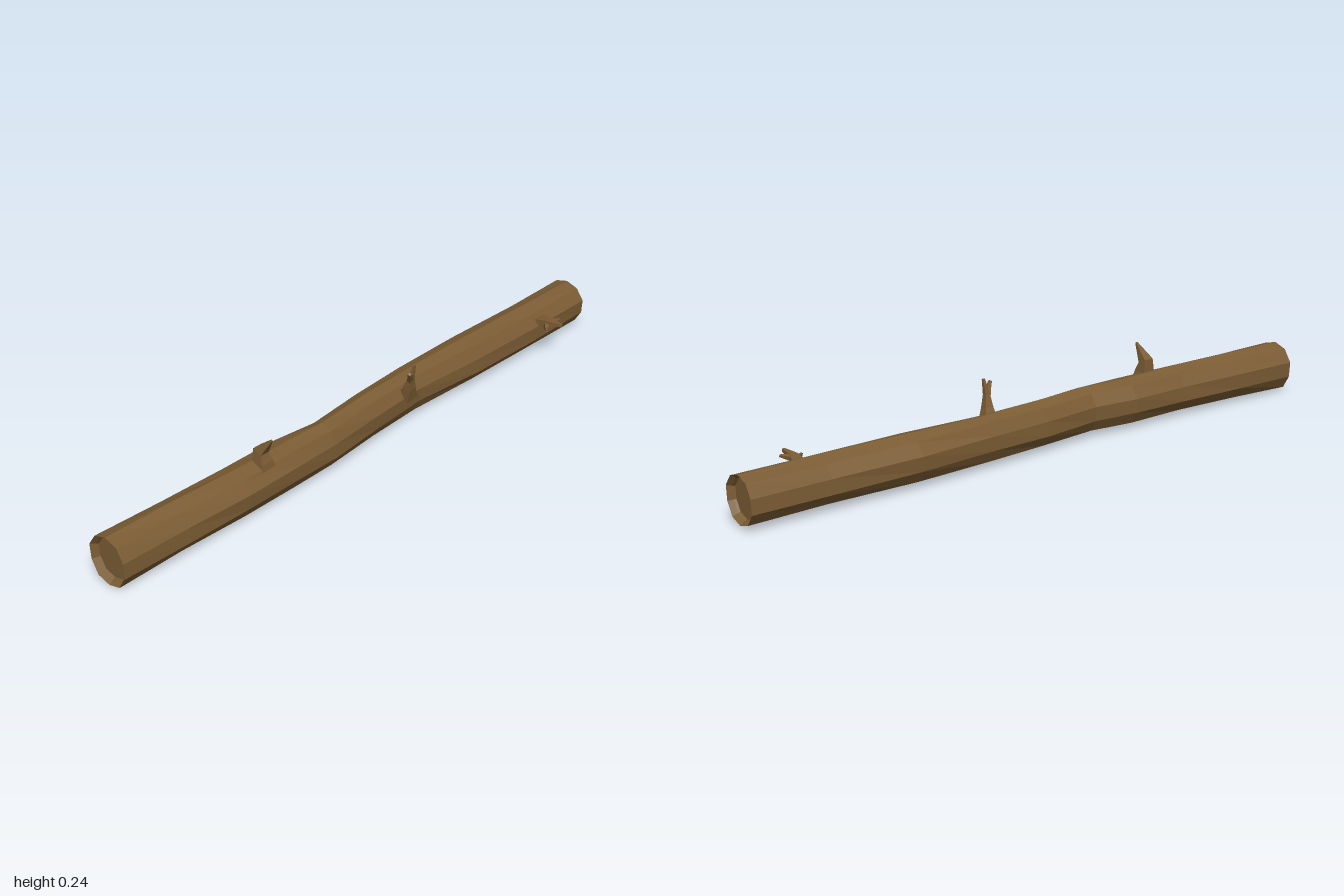
import * as THREE from 'three';

const SIDES = 10;

// Joins rings of points into a faceted skin, skipping collapsed triangles.
function loft(rings) {
  const pos = [], n = rings[0].length, ab = new THREE.Vector3(), ac = new THREE.Vector3();
  const tri = (a, b, c) => {
    ab.subVectors(b, a); ac.subVectors(c, a);
    if (ab.cross(ac).lengthSq() < 1e-14) return;
    for (const p of [a, b, c]) pos.push(p.x, p.y, p.z);
  };
  for (let i = 0; i < rings.length - 1; i++) {
    for (let j = 0; j < n; j++) {
      const k = (j + 1) % n;
      tri(rings[i][j], rings[i][k], rings[i + 1][k]);
      tri(rings[i][j], rings[i + 1][k], rings[i + 1][j]);
    }
  }
  const g = new THREE.BufferGeometry();
  g.setAttribute('position', new THREE.Float32BufferAttribute(pos, 3));
  g.computeVertexNormals();
  return g;
}

// Uneven ten-sided section of the log: z, left x, right x, bottom y, top y.
function section([z, left, right, bottom, top], index, scale = 1) {
  const cx = (left + right) / 2, cy = (bottom + top) / 2;
  return Array.from({ length: SIDES }, (_, j) => {
    const a = -Math.PI / 2 + (j / SIDES) * Math.PI * 2;
    const bump = 1 + 0.025 * Math.sin(j * 2.4 + index * 1.9);
    const r = scale * bump;
    return new THREE.Vector3(
      cx + Math.cos(a) * (right - left) / 2 * r,
      cy + Math.sin(a) * (top - bottom) / 2 * r, z);
  });
}

// Tapering twig along points [x, y, z, radius], closed at both ends.
function twig(points, sides = 4) {
  const c = points.map(([x, y, z]) => new THREE.Vector3(x, y, z));
  const ref = new THREE.Vector3(0, 0, 1);
  const rings = points.map((p, i) => {
    const t = c[Math.min(i + 1, c.length - 1)].clone().sub(c[Math.max(i - 1, 0)]).normalize();
    const u = t.clone().cross(ref).normalize();
    const v = t.clone().cross(u);
    return Array.from({ length: sides }, (_, j) => {
      const a = ((j + 0.5) / sides) * Math.PI * 2;
      return c[i].clone().addScaledVector(u, Math.cos(a) * p[3]).addScaledVector(v, Math.sin(a) * p[3]);
    });
  });
  const cap = (p) => Array.from({ length: sides }, () => p.clone());
  return loft([cap(c[0]), ...rings, cap(c[c.length - 1])]);
}

export function createModel() {
  const bark = new THREE.MeshStandardMaterial({ color: 0x7b5c34, flatShading: true });
  bark.name = 'brown bark';
  const model = new THREE.Group();
  model.name = 'fallenLog';
  const add = (parent, name, geometry) => {
    const mesh = new THREE.Mesh(geometry, bark);
    mesh.name = name;
    parent.add(mesh);
  };

  // Crooked trunk with recessed cut ends
  const profile = [
    [-1.00, -0.100, 0.042, 0.013, 0.160],
    [-0.75, -0.103, 0.042, 0.012, 0.160],
    [-0.46, -0.113, 0.034, 0.012, 0.160],
    [-0.20, -0.102, 0.014, 0.014, 0.159],
    [0.00, -0.096, 0.024, 0.012, 0.159],
    [0.20, -0.080, 0.040, 0.012, 0.159],
    [0.35, -0.100, 0.042, 0.012, 0.159],
    [0.55, -0.102, 0.042, 0.010, 0.160],
    [0.78, -0.114, 0.031, 0.006, 0.161],
    [1.00, -0.122, 0.024, 0.002, 0.162],
  ];
  const last = profile.length - 1;
  const inset = (i, depth, scale) => {
    const p = [...profile[i]];
    p[0] -= Math.sign(p[0]) * depth;
    return section(p, i, scale);
  };
  add(model, 'trunk', loft([
    inset(0, 0.022, 0), inset(0, 0.022, 0.82), inset(0, 0.014, 0.86),
    ...profile.map((p, i) => section(p, i)),
    inset(last, 0.014, 0.86), inset(last, 0.022, 0.82), inset(last, 0.022, 0),
  ]));

  // Broken branch stubs, each a list of twigs
  const branches = {
    frontBranch: [
      [[-0.008, 0.130, 0.455, 0.038], [-0.008, 0.158, 0.457, 0.030],
        [-0.012, 0.192, 0.457, 0.023], [0.031, 0.241, 0.455, 0.004]],
    ],
    middleBranch: [
      [[0.008, 0.110, -0.145, 0.032], [0.026, 0.150, -0.135, 0.019],
        [0.036, 0.188, -0.130, 0.011], [0.044, 0.235, -0.135, 0.005]],
      [[0.032, 0.175, -0.130, 0.010], [0.044, 0.200, -0.118, 0.009], [0.054, 0.220, -0.103, 0.006]],
    ],
    backBranch: [
      [[0.020, 0.105, -0.780, 0.034], [0.048, 0.118, -0.777, 0.025],
        [0.070, 0.128, -0.772, 0.016], [0.120, 0.136, -0.775, 0.006]],
      [[0.062, 0.124, -0.770, 0.012], [0.078, 0.120, -0.752, 0.009], [0.092, 0.122, -0.733, 0.005]],
      [[0.062, 0.128, -0.778, 0.011], [0.074, 0.132, -0.792, 0.008], [0.086, 0.135, -0.807, 0.004]],
    ],
  };
  for (const [name, twigs] of Object.entries(branches)) {
    const group = new THREE.Group();
    group.name = name;
    twigs.forEach((points, i) => add(group, i ? 'sideTwig' + i : 'mainTwig', twig(points)));
    model.add(group);
  }
  return model;
}
